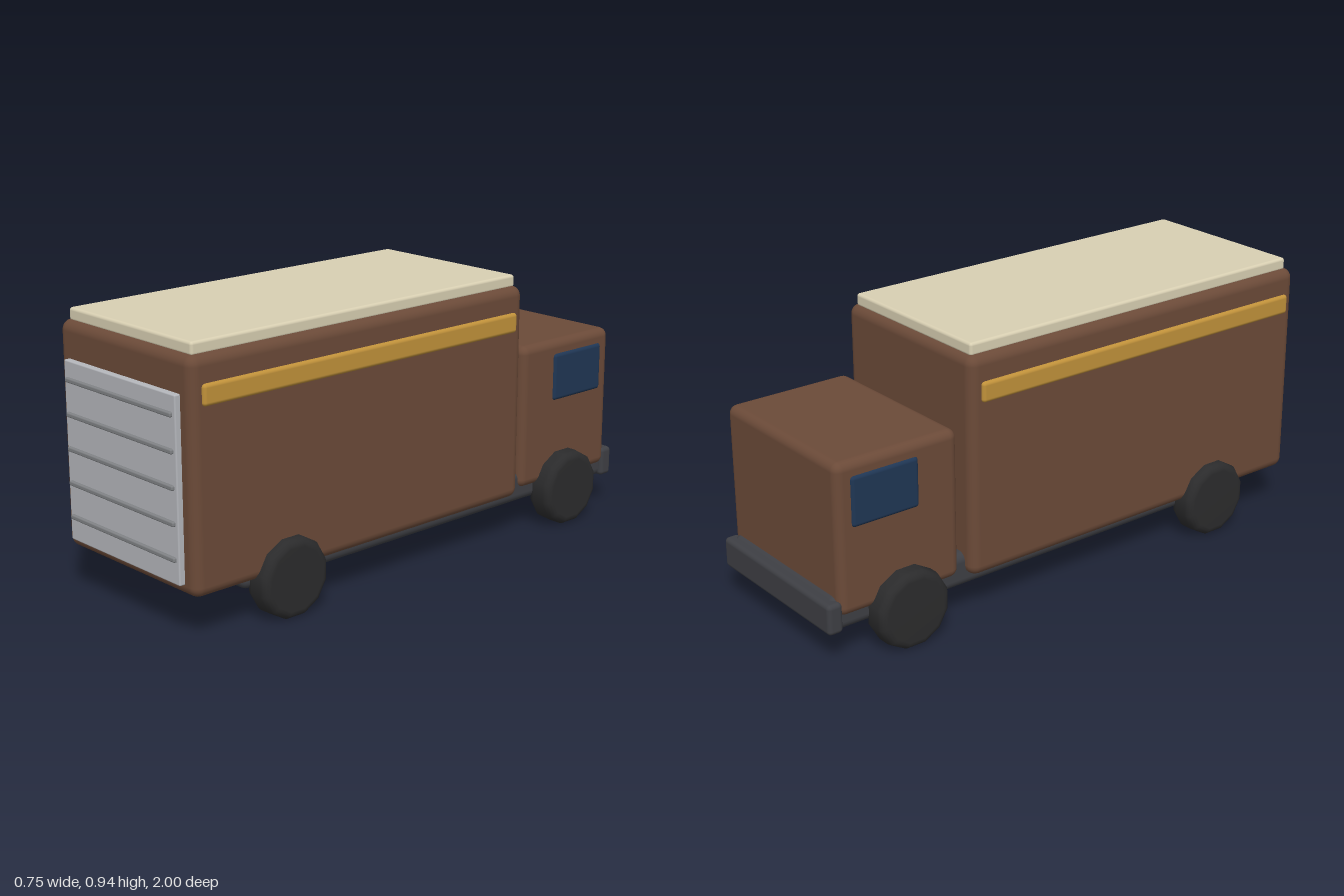
import * as THREE from 'three';
import { RoundedBoxGeometry } from 'three/addons/geometries/RoundedBoxGeometry.js';

const paint = (color) => new THREE.MeshStandardMaterial({ color });
const brown = paint(0x6b4a38);
const cream = paint(0xd8cfb2);
const gold = paint(0xc0913a);
const steel = paint(0xb4b6bb);
const slatGrey = paint(0x808285);
const darkGrey = paint(0x3e3f44);
const rubber = paint(0x2b2b2c);
const glass = paint(0x1f3654);

// Rounded box given by its limits along each axis
function block(name, [x0, x1], [y0, y1], [z0, z1], radius, material) {
  const geometry = new RoundedBoxGeometry(x1 - x0, y1 - y0, z1 - z0, 3, radius);
  const mesh = new THREE.Mesh(geometry, material);
  mesh.position.set((x0 + x1) / 2, (y0 + y1) / 2, (z0 + z1) / 2);
  mesh.name = name;
  return mesh;
}

// Twelve-sided tyre with rounded shoulders, axle along x
function wheelGeometry(radius, width, round) {
  const points = [new THREE.Vector2(0, -width / 2)];
  for (const side of [-1, 1]) {
    for (let i = 0; i <= 4; i++) {
      const a = (side < 0 ? i - 4 : i) * Math.PI / 8;
      points.push(new THREE.Vector2(
        radius - round + round * Math.cos(a),
        side * (width / 2 - round) + round * Math.sin(a)));
    }
  }
  points.push(new THREE.Vector2(0, width / 2));
  const geometry = new THREE.LatheGeometry(points, 12);
  geometry.rotateY(Math.PI / 12);
  geometry.rotateZ(Math.PI / 2);
  return geometry;
}

export function createModel() {
  const truck = new THREE.Group();
  truck.name = 'deliveryTruck';

  // Chassis and bumper
  truck.add(block('chassis', [-0.298, 0.298], [0.107, 0.225], [-0.98, 0.752], 0.03, darkGrey));
  truck.add(block('bumper', [-0.312, 0.312], [0.11, 0.215], [-1, -0.945], 0.015, darkGrey));

  // Cargo box, roof panel and cab
  truck.add(block('cargoBox', [-0.338, 0.338], [0.148, 0.907], [-0.466, 0.97], 0.035, brown));
  truck.add(block('roofPanel', [-0.312, 0.312], [0.9, 0.944], [-0.445, 0.945], 0.01, cream));
  truck.add(block('cab', [-0.315, 0.315], [0.16, 0.676], [-0.958, -0.498], 0.03, brown));

  // Roller door with its slats
  truck.add(block('rollerDoor', [-0.285, 0.285], [0.187, 0.787], [0.955, 0.99], 0.005, steel));
  for (let i = 0; i < 5; i++) {
    const y = 0.269 + i * 0.114;
    truck.add(block('doorSlat', [-0.272, 0.272], [y - 0.008, y + 0.008], [0.98, 1], 0.005, slatGrey));
  }

  // Side stripes, cab windows and wheels, mirrored
  const tyre = wheelGeometry(0.136, 0.1, 0.028);
  for (const side of [-1, 1]) {
    const label = side > 0 ? 'left' : 'right';
    const span = (inner, outer) => (side > 0 ? [inner, outer] : [-outer, -inner]);
    truck.add(block(label + 'Stripe', span(0.32, 0.35), [0.751, 0.82], [-0.424, 0.93], 0.012, gold));
    truck.add(block(label + 'Window', span(0.295, 0.323), [0.457, 0.628], [-0.906, -0.655], 0.013, glass));
    for (const [end, z] of [['Front', 0.596], ['Back', -0.713]]) {
      const wheel = new THREE.Mesh(tyre, rubber);
      wheel.name = label + end + 'Wheel';
      wheel.position.set(side * 0.325, 0.132, z);
      truck.add(wheel);
    }
  }
  return truck;
}
